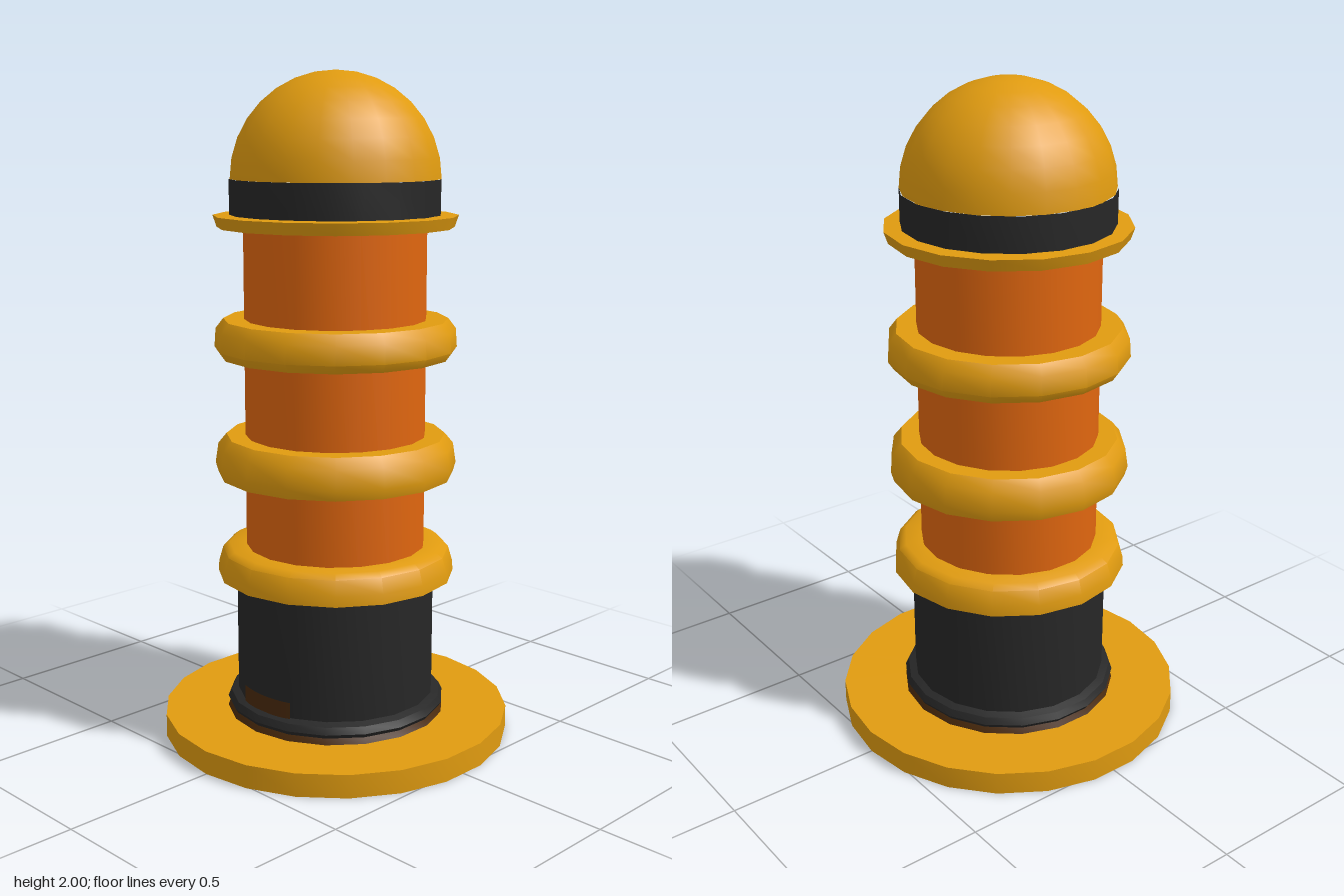
import * as THREE from 'three';
import { toCreasedNormals } from 'three/addons/utils/BufferGeometryUtils.js';

export function createModel() {
  const group = new THREE.Group();
  const material = (name, color) => {
    const m = new THREE.MeshStandardMaterial({ color });
    m.name = name;
    return m;
  };
  const yellow = material('amber yellow', 0xe09b10);
  const orange = material('orange', 0xe0660f);
  const black = material('charcoal', 0x272727);
  const brown = material('dark brown', 0x4a2a0c);

  // Turned part from [radius, height] points; outer profiles run upwards
  function turned(name, points, mat, sides = 18) {
    const profile = points.map(([r, y]) => new THREE.Vector2(r, y));
    const geometry = toCreasedNormals(new THREE.LatheGeometry(profile, sides), 0.7);
    const mesh = new THREE.Mesh(geometry, mat);
    mesh.name = name;
    group.add(mesh);
    return mesh;
  }

  // Base flange with a bore through it
  turned('baseFlange', [[0.21, 0.07], [0.21, 0], [0.53, 0], [0.53, 0.07], [0.21, 0.07]], yellow, 22);

  // Hollow inside of the post, facing inwards
  turned('boreLining', [[0, 1.5], [0.21, 1.5], [0.21, 0.07]], orange);

  // Foot collar and lower sleeve
  turned('collarSeam', [[0.335, 0.07], [0.325, 0.09]], brown);
  turned('footCollar', [[0.325, 0.085], [0.335, 0.1], [0.325, 0.12], [0.295, 0.13]], black);
  turned('lowerSleeve', [[0.302, 0.1], [0.302, 0.52]], black);

  // Scuffed patch at the front of the sleeve
  const patch = new THREE.Mesh(
    new THREE.CylinderGeometry(0.304, 0.306, 0.05, 6, 1, true, -0.33, 0.66), brown);
  patch.name = 'scuffPatch';
  patch.position.y = 0.15;
  group.add(patch);

  // Orange post between the rings
  turned('post', [[0.272, 0.52], [0.272, 1.57]], orange);

  // Raised rings
  turned('lowerRing', [[0.25, 0.5], [0.36, 0.5], [0.358, 0.53], [0.345, 0.575], [0.325, 0.59], [0.25, 0.59]], yellow, 16);
  turned('middleRing', [[0.25, 0.81], [0.355, 0.81], [0.364, 0.84], [0.355, 0.9], [0.33, 0.93], [0.25, 0.93]], yellow, 16);
  turned('upperRing', [[0.25, 1.17], [0.345, 1.17], [0.362, 1.195], [0.358, 1.25], [0.335, 1.28], [0.25, 1.28]], yellow, 16);
  turned('topRim', [[0.25, 1.55], [0.35, 1.55], [0.362, 1.585], [0.25, 1.59]], yellow, 16);

  // Black band and domed cap
  turned('capBand', [[0.312, 1.58], [0.312, 1.69]], black);
  const dome = [];
  for (let i = 0; i <= 8; i++) {
    const a = (i / 8) * Math.PI / 2;
    dome.push([i === 8 ? 0 : 0.31 * Math.cos(a), 1.69 + 0.31 * Math.sin(a)]);
  }
  turned('domeCap', dome, yellow, 20);

  return group;
}
